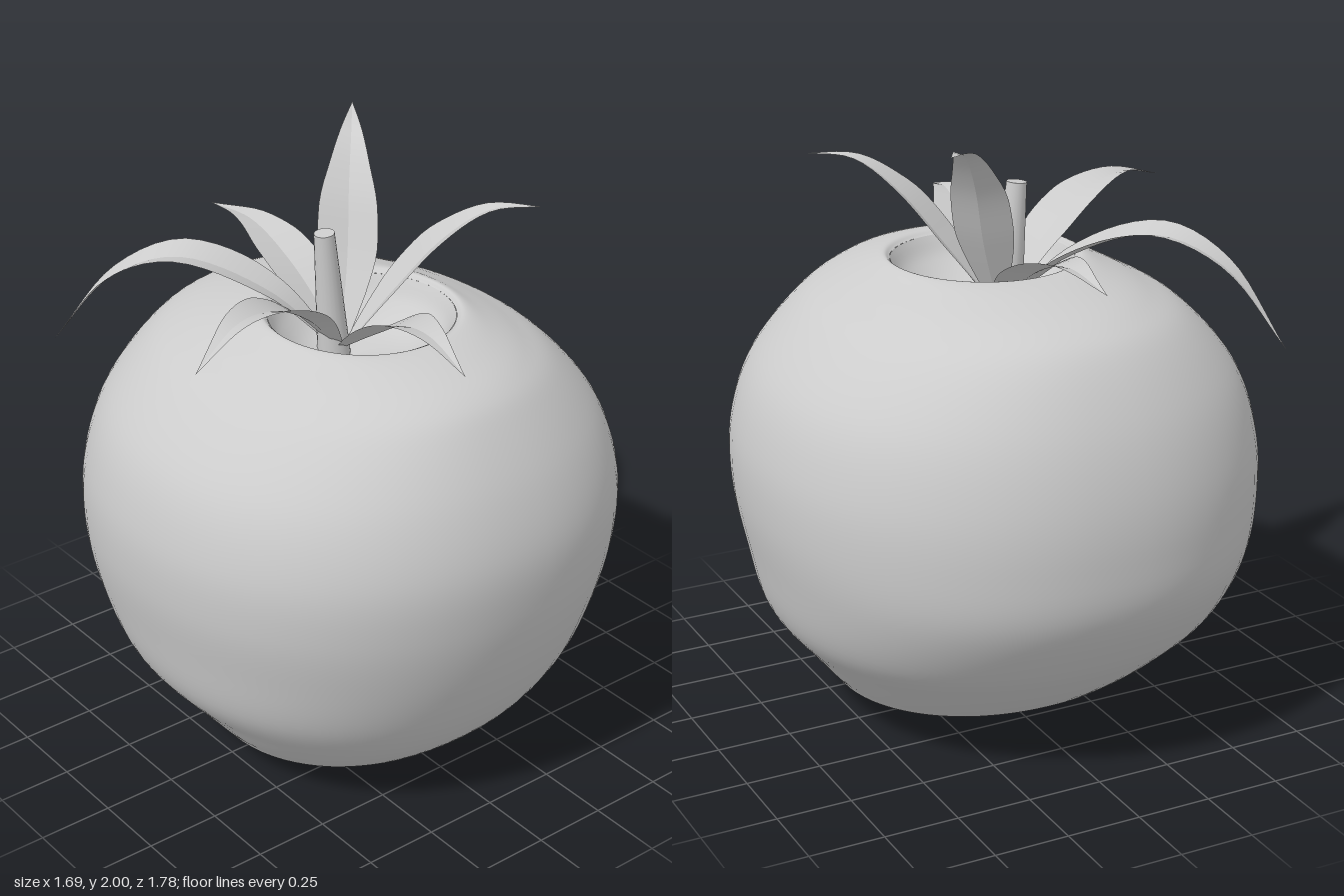
import * as THREE from 'three';

const grey = new THREE.MeshStandardMaterial({ color: 0xcccccc, side: THREE.DoubleSide });
grey.name = 'plain grey';

function gridGeometry(rows, cols, pointAt, closed, skipColumn = -1) {
  const pos = [], index = [];
  for (let i = 0; i < rows; i++) for (let j = 0; j < cols; j++) pos.push(...pointAt(i, j));
  for (let i = 0; i < rows - 1; i++) {
    for (let j = 0; j < (closed ? cols : cols - 1); j++) {
      if (j === skipColumn) continue;
      const k = (j + 1) % cols;
      const a = i * cols + j, b = i * cols + k, c = a + cols, d = b + cols;
      index.push(a, c, b, b, c, d);
    }
  }
  const g = new THREE.BufferGeometry();
  g.setAttribute('position', new THREE.Float32BufferAttribute(pos, 3));
  g.setIndex(index);
  g.computeVertexNormals();
  return g;
}

// Stacked rounded rings; each row is [y, half width, front z, back z]
function ringBody(profile, steps, power) {
  const curve = k => new THREE.CatmullRomCurve3(
    profile.map(r => new THREE.Vector3(r[1], r[0], r[k])), false, 'catmullrom', 0.5);
  const front = curve(2).getPoints(steps), back = curve(3).getPoints(steps);
  const sides = 72;
  const bulge = v => Math.sign(v) * Math.abs(v) ** (2 / power);
  return gridGeometry(steps + 1, sides, (i, j) => {
    const a = j / sides * Math.PI * 2;
    const f = front[i], mid = (f.z + back[i].z) / 2, half = (f.z - back[i].z) / 2;
    // rings near the rim turn circular
    const w = Math.min(1, Math.max(0, (f.x - 0.25) / 0.4));
    const x = THREE.MathUtils.lerp(Math.cos(a), bulge(Math.cos(a)), w);
    const z = THREE.MathUtils.lerp(Math.sin(a), bulge(Math.sin(a)), w);
    return [f.x * x, f.y, mid + half * z];
  }, true);
}

// Pointed leaf with a creased midrib, following a curve
function leafGeometry(points, width) {
  const path = new THREE.CatmullRomCurve3(points.map(p => new THREE.Vector3(...p)));
  const steps = 24;
  const tip = points[points.length - 1], base = points[0];
  const side = new THREE.Vector3(-(tip[2] - base[2]), 0, tip[0] - base[0]).normalize();
  const taper = new THREE.CatmullRomCurve3(
    [0.25, 0.68, 0.97, 0.94, 0.62, 0.27, 0].map((w, i) => new THREE.Vector3(i / 6, w, 0)));
  return gridGeometry(steps + 1, 4, (i, j) => {
    const t = i / steps;
    const p = path.getPointAt(t), up = new THREE.Vector3().crossVectors(side, path.getTangentAt(t));
    const w = Math.max(0, taper.getPoint(t).y) * width / 2;
    const s = [-1, 0, 0, 1][j];
    p.addScaledVector(side, s * w).addScaledVector(up, Math.abs(s) * w * 0.25);
    return [p.x, p.y, p.z];
  }, false, 1);
}

export function createModel() {
  const group = new THREE.Group();
  const add = (name, geometry) => {
    const mesh = new THREE.Mesh(geometry, grey);
    mesh.name = name;
    group.add(mesh);
    return mesh;
  };

  // Fruit
  add('fruit', ringBody([
    [0, 0, 0.08, 0.08], [0.035, 0.26, 0.31, -0.15], [0.09, 0.49, 0.48, -0.36],
    [0.14, 0.55, 0.56, -0.45], [0.25, 0.64, 0.665, -0.59], [0.4, 0.755, 0.755, -0.74],
    [0.6, 0.81, 0.835, -0.865], [0.8, 0.843, 0.88, -0.89], [1.0, 0.835, 0.885, -0.873],
    [1.2, 0.765, 0.825, -0.81], [1.38, 0.605, 0.72, -0.7], [1.46, 0.47, 0.64, -0.59],
    [1.51, 0.37, 0.52, -0.42], [1.535, 0.32, 0.41, -0.28], [1.522, 0.3, 0.37, -0.235],
  ], 84, 2.15));

  // Hollow around the stem
  add('hollow', ringBody([
    [1.522, 0.3, 0.37, -0.235], [1.45, 0.255, 0.315, -0.19],
    [1.385, 0.16, 0.2, -0.11], [1.355, 0, 0.02, 0.02],
  ], 18, 2));

  // Leaning stem
  const foot = new THREE.Vector3(-0.035, 1.35, -0.03), top = new THREE.Vector3(-0.075, 1.785, -0.027);
  const axis = top.clone().sub(foot);
  const stem = add('stem', new THREE.CylinderGeometry(0.033, 0.054, axis.length(), 20));
  stem.position.copy(foot).add(top).multiplyScalar(0.5);
  stem.quaternion.setFromUnitVectors(new THREE.Vector3(0, 1, 0), axis.normalize());

  // Leaves around the stem
  const leaves = [
    [0.2, [0, 1.39, -0.04], [0.09, 1.62, -0.12], [0.16, 1.83, -0.2], [0.24, 1.96, -0.29], [0.355, 2, -0.43]],
    [0.21, [0, 1.39, 0], [0.13, 1.58, 0.08], [0.25, 1.75, 0.17], [0.36, 1.845, 0.26], [0.49, 1.855, 0.36]],
    [0.19, [-0.02, 1.38, 0], [-0.03, 1.5, 0.18], [-0.055, 1.6, 0.35], [-0.09, 1.635, 0.52], [-0.13, 1.6, 0.72]],
    [0.19, [-0.04, 1.39, -0.01], [-0.2, 1.55, 0.05], [-0.4, 1.67, 0.13], [-0.58, 1.705, 0.2], [-0.8, 1.65, 0.3]],
    [0.2, [-0.04, 1.39, -0.04], [-0.18, 1.56, -0.18], [-0.38, 1.66, -0.39], [-0.53, 1.58, -0.55], [-0.67, 1.33, -0.71]],
    [0.2, [-0.01, 1.38, -0.04], [0, 1.48, -0.17], [0, 1.575, -0.32], [0.005, 1.64, -0.52], [0.01, 1.62, -0.765]],
  ];
  leaves.forEach(([width, ...points], i) => add(`leaf${i + 1}`, leafGeometry(points, width)));

  return group;
}
